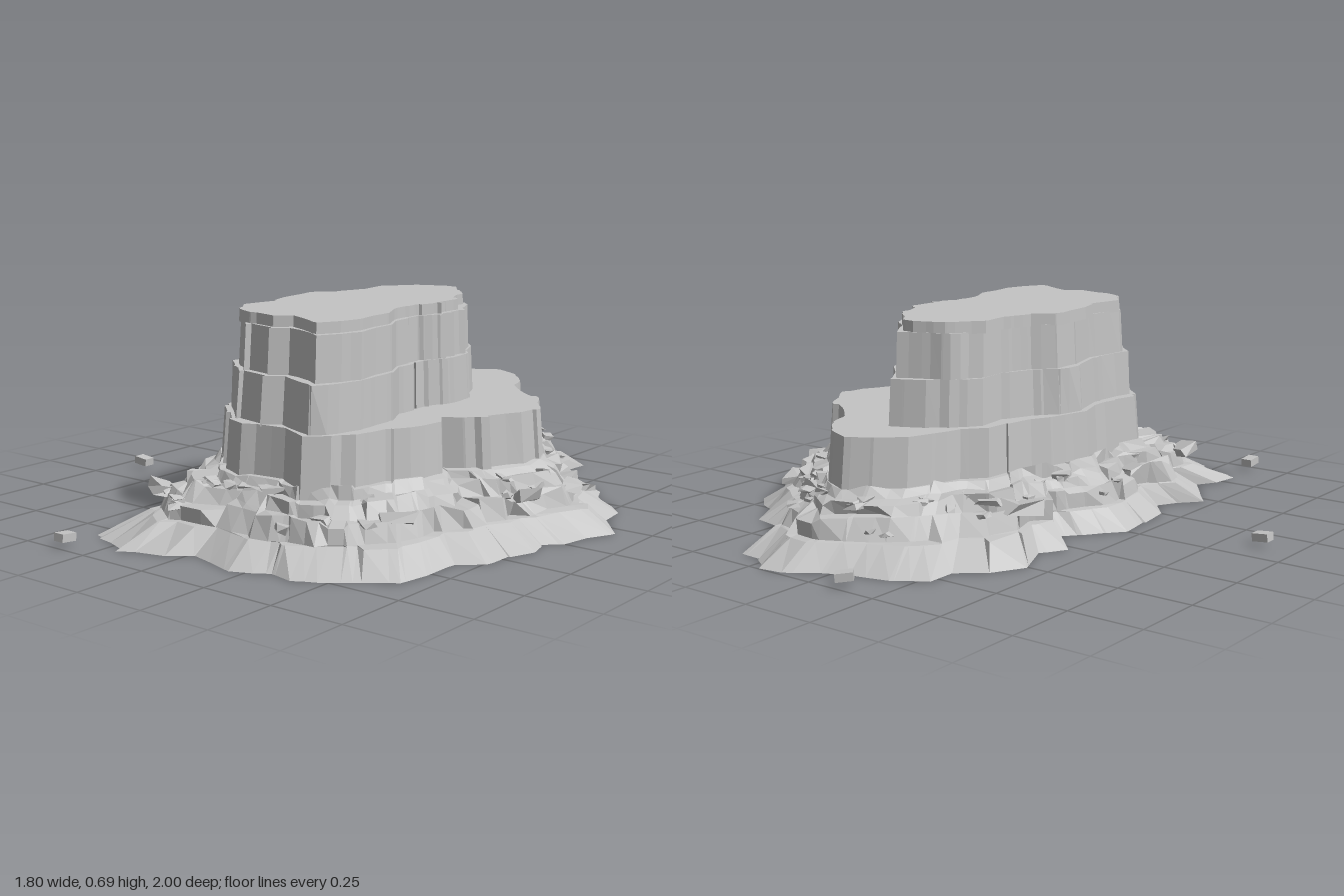
import * as THREE from 'three';
import { mergeGeometries } from 'three/addons/utils/BufferGeometryUtils.js';

const CX = 0.1, CZ = -0.02;

// Plan outlines as x, z pairs
const BASE = [0.13, -0.98, 0.21, -0.99, 0.28, -0.93, 0.36, -0.92, 0.32, -0.85, 0.36, -0.8, 0.34, -0.71,
  0.42, -0.66, 0.5, -0.64, 0.6, -0.62, 0.64, -0.52, 0.72, -0.48, 0.78, -0.42, 0.8, -0.32, 0.85, -0.26,
  0.9, -0.2, 0.85, -0.1, 0.83, 0, 0.78, 0.05, 0.8, 0.13, 0.77, 0.22, 0.75, 0.32, 0.68, 0.38, 0.68, 0.52,
  0.66, 0.62, 0.55, 0.7, 0.47, 0.76, 0.4, 0.8, 0.32, 0.79, 0.2, 0.84, 0.1, 0.81, 0.02, 0.79, -0.05, 0.85,
  -0.15, 0.87, -0.2, 0.9, -0.28, 0.85, -0.38, 0.83, -0.36, 0.72, -0.32, 0.65, -0.38, 0.57, -0.46, 0.47,
  -0.4, 0.4, -0.36, 0.33, -0.42, 0.25, -0.44, 0.12, -0.46, 0, -0.4, -0.06, -0.36, -0.12, -0.31, -0.18,
  -0.42, -0.28, -0.36, -0.36, -0.42, -0.5, -0.37, -0.62, -0.28, -0.68, -0.28, -0.78, -0.18, -0.85,
  -0.05, -0.88, 0.03, -0.92];
const SHELF = [0.12, -0.71, 0.22, -0.65, 0.28, -0.59, 0.32, -0.5, 0.4, -0.42, 0.5, -0.35, 0.55, -0.28,
  0.6, -0.2, 0.59, -0.12, 0.54, 0, 0.5, 0.06, 0.44, 0.1, 0.48, 0.16, 0.46, 0.25, 0.4, 0.35, 0.38, 0.47,
  0.25, 0.58, 0.15, 0.53, 0, 0.55, -0.08, 0.52, -0.15, 0.45, -0.25, 0.36, -0.21, 0.2, -0.26, 0.05,
  -0.22, -0.1, -0.17, -0.2, -0.16, -0.35, -0.1, -0.42, -0.07, -0.5, -0.04, -0.6, 0.04, -0.67];
const TOP = [0.1, -0.45, 0.15, -0.38, 0.22, -0.31, 0.26, -0.22, 0.29, -0.19, 0.29, -0.08, 0.26, 0,
  0.26, 0.12, 0.3, 0.2, 0.3, 0.28, 0.31, 0.36, 0.29, 0.43, 0.25, 0.5, 0.2, 0.47, 0.1, 0.43, 0.05, 0.47,
  -0.05, 0.45, -0.12, 0.41, -0.19, 0.34, -0.16, 0.2, -0.2, 0.06, -0.2, -0.04, -0.14, -0.1, -0.1, -0.2,
  -0.11, -0.3, -0.05, -0.38, 0.03, -0.42];

// Directions through every outline corner, shared by all the rings
const ANGLES = [BASE, SHELF, TOP]
  .flatMap((o) => o.flatMap((x, i) => (i % 2 ? [] : [Math.atan2(o[i + 1] - CZ, x - CX)])))
  .sort((a, b) => a - b)
  .filter((a, i, all) => i === 0 || a - all[i - 1] > 0.003);
const N = ANGLES.length;

function seeded(seed) {
  return () => {
    seed = (seed * 1664525 + 1013904223) % 4294967296;
    return seed / 4294967296;
  };
}

// Distance from the centre to an outline along an angle
function reach(outline, angle) {
  const dx = Math.cos(angle), dz = Math.sin(angle), n = outline.length;
  let best = 0;
  for (let i = 0; i < n; i += 2) {
    const ax = outline[i] - CX, az = outline[i + 1] - CZ;
    const ex = outline[(i + 2) % n] - CX - ax, ez = outline[(i + 3) % n] - CZ - az;
    const det = dx * ez - dz * ex;
    if (Math.abs(det) < 1e-9) continue;
    const r = (ax * ez - az * ex) / det, s = (ax * dz - az * dx) / det;
    if (s >= -1e-6 && s <= 1 + 1e-6 && r > best) best = r;
  }
  return best;
}

const baseR = ANGLES.map((a) => reach(BASE, a));
const shelfR = ANGLES.map((a) => reach(SHELF, a));
const topR = ANGLES.map((a) => reach(TOP, a));

// Random offsets held over one to four steps, giving blocky faces
function blocky(rand, amount) {
  const out = [];
  while (out.length < N) {
    const v = (rand() * 2 - 1) * amount;
    for (let k = 1 + Math.floor(rand() * 4); k > 0; k--) out.push(v);
  }
  return out;
}

const at = (i, r, y) => [CX + Math.cos(ANGLES[i]) * r, y, CZ + Math.sin(ANGLES[i]) * r];

// Skin a stack of rings, with an optional flat lid
function loft(rings, lid) {
  const pos = [], add = (...pts) => pts.forEach((p) => pos.push(...p));
  const last = rings[rings.length - 1];
  for (let i = 0; i < N; i++) {
    const j = (i + 1) % N;
    for (let k = 0; k + 1 < rings.length; k++) {
      const lo = rings[k], hi = rings[k + 1];
      add(lo[i], hi[i], hi[j], lo[i], hi[j], lo[j]);
    }
    if (lid) add([CX, last[i][1], CZ], last[j], last[i]);
  }
  const g = new THREE.BufferGeometry();
  g.setAttribute('position', new THREE.Float32BufferAttribute(pos, 3));
  g.computeVertexNormals();
  return g;
}

// Stepped slope: fraction towards the cliff, height, and their scatter
const STEPS = [[0, 0, 0.03, 0], [0.34, 0.07, 0.08, 0], [0.41, 0.073, 0.09, 0.002], [0.49, 0.132, 0.09, 0.016],
  [0.64, 0.135, 0.09, 0.016], [0.7, 0.172, 0.08, 0.014], [0.87, 0.178, 0.05, 0.01],
  [0.92, 0.207, 0.03, 0.014], [1.06, 0.207, 0, 0]];

function slopeRings() {
  const rand = seeded(11);
  return STEPS.map(([t, y, tj, yj]) => {
    const dt = blocky(rand, tj), dy = blocky(rand, yj);
    return ANGLES.map((_, i) =>
      at(i, THREE.MathUtils.lerp(baseR[i], shelfR[i], t + dt[i]), y + dy[i]));
  });
}

// One cliff band with its own fractured outline, scaled at its foot and brow
function band(radii, y0, y1, scale0, scale1, seed, limit) {
  const d = blocky(seeded(seed), 0.011);
  const ring = (y, scale) => ANGLES.map((_, i) => {
    const r = radii[i] * scale + d[i];
    return at(i, limit ? Math.min(r, limit[i] - 0.008) : r, y);
  });
  return loft([ring(y0, scale0), ring(y1, scale1)], true);
}

// Rough, slightly skewed block
function rock(rand, w, h, d) {
  const g = new THREE.BoxGeometry(w, h, d).toNonIndexed();
  const p = g.attributes.position;
  const shift = Array.from({ length: 8 }, () => [rand(), rand(), rand()].map((v) => (v - 0.5) * 0.5));
  for (let i = 0; i < p.count; i++) {
    const x = p.getX(i), y = p.getY(i), z = p.getZ(i);
    const s = shift[(x > 0 ? 1 : 0) + (y > 0 ? 2 : 0) + (z > 0 ? 4 : 0)];
    p.setXYZ(i, x + s[0] * w, y + s[1] * h, z + s[2] * d);
  }
  g.computeVertexNormals();
  return g;
}

// A few broken slabs scattered over the slope
function rubbleGeometry() {
  const rand = seeded(47), rocks = [];
  for (let k = 0; k < 55; k++) {
    const i = Math.floor(rand() * N), t = 0.42 + rand() * 0.46;
    const s = STEPS.findIndex((step) => step[0] > t);
    const [t0, y0] = STEPS[s - 1], [t1, y1] = STEPS[s];
    const y = THREE.MathUtils.mapLinear(t, t0, t1, y0, y1);
    const size = 0.02 + rand() * rand() * 0.06;
    const g = rock(rand, size * 1.5, size * 0.5, size);
    g.rotateZ((rand() - 0.5) * 0.6);
    g.rotateX((rand() - 0.5) * 0.6);
    g.rotateY(rand() * Math.PI * 2);
    g.translate(...at(i, THREE.MathUtils.lerp(baseR[i], shelfR[i], t), y));
    rocks.push(g);
  }
  return mergeGeometries(rocks);
}

export function createModel() {
  const model = new THREE.Group();
  model.name = 'rockMesa';
  const stone = new THREE.MeshStandardMaterial({ color: 0xc4c4c4, flatShading: true, side: THREE.DoubleSide });
  stone.name = 'grey stone';
  const part = (name, geometry, x = 0) => {
    const mesh = new THREE.Mesh(geometry, stone);
    mesh.name = name;
    mesh.position.x = x;
    model.add(mesh);
    return mesh;
  };

  // Open-bottomed skirt with a flat deck, then the stepped slope on it
  const rings = slopeRings();
  part('skirt', loft(rings.slice(0, 2), true));
  part('screeSlope', loft(rings.slice(1), false));
  part('rubble', rubbleGeometry());

  // Broad lower cliff, then the narrow upper cliff in three bands
  part('lowerCliff', band(shelfR, 0.17, 0.365, 1.03, 1, 5));
  part('upperCliffBase', band(topR, 0.36, 0.515, 1.13, 1.1, 21, shelfR), 0.012);
  part('upperCliffMiddle', band(topR, 0.51, 0.66, 1.055, 1.035, 33, shelfR), 0.01);
  part('summitCap', band(topR, 0.655, 0.695, 1.005, 1, 8, shelfR));

  // Loose stones lying away from the slope: x, z, turn
  [[-0.88, 0.12, 0], [-0.11, -0.965, 0.7], [-0.36, 0.97, Math.PI / 2]].forEach(([x, z, turn]) => {
    const pebble = part('looseStone', new THREE.BoxGeometry(0.055, 0.026, 0.04));
    pebble.position.set(x, 0.032, z);
    pebble.rotation.set(0, turn, -0.1);
  });
  return model;
}
